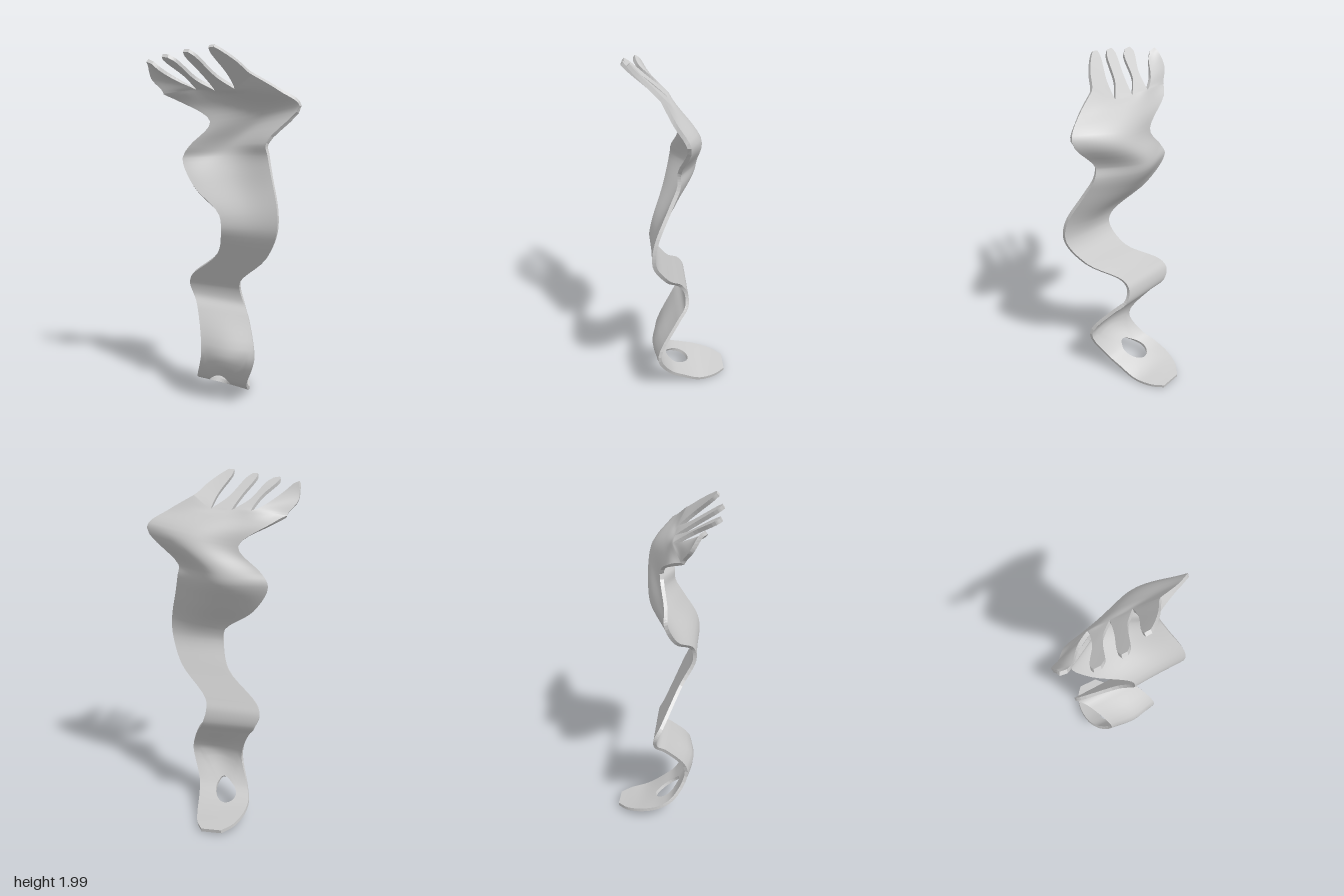
import * as THREE from 'three';
import { mergeVertices } from 'three/addons/utils/BufferGeometryUtils.js';

const COLS = 24, STEPS = 5, HALF = 0.01;
const HOLE = { j: 11, i: 17, rj: 5, ri: 4 };
const V = (x, y, z) => new THREE.Vector3(x, y, z);

// foot to palm: left edge x, y, right edge x, y, depth z
const BODY = [
  [-0.14, 0.03, -0.02, 0.015, -0.285],
  [-0.19, 0.045, 0.03, 0.015, -0.222],
  [-0.22, 0.07, 0.07, 0.025, -0.12],
  [-0.215, 0.1, 0.1, 0.08, -0.015],
  [-0.18, 0.15, 0.13, 0.14, 0.065],
  [-0.12, 0.31, 0.2, 0.31, 0.135],
  [-0.2, 0.52, 0.12, 0.5, 0.02],
  [-0.25, 0.59, 0.07, 0.57, -0.035],
  [-0.275, 0.66, 0.045, 0.65, -0.035],
  [-0.25, 0.72, 0.06, 0.71, -0.005],
  [-0.04, 0.88, 0.25, 0.87, 0.09],
  [0.015, 1.02, 0.335, 1.02, 0.162],
  [0, 1.1, 0.335, 1.14, 0.152],
  [-0.2, 1.25, 0.27, 1.32, 0.07],
  [-0.29, 1.4, 0.235, 1.42, 0.025],
  [-0.25, 1.47, 0.225, 1.49, 0.022],
  [-0.13, 1.61, 0.4, 1.69, -0.01],
  [-0.3, 1.73, 0.3, 1.775, 0.05],
];
// the upper arm is hollow towards the front, the lower arm is arched
const bell = (y, centre, width) => Math.exp(-(((y - centre) / width) ** 2));
const bulge = (y) => 0.025 * bell(y, 0.3, 0.12) - 0.105 * bell(y, 1.5, 0.25);

// knuckle line: outer edges and the three gaps between fingers
const KNUCKLES = [
  V(-0.36, 1.765, 0.11), V(-0.18, 1.79, 0.055), V(-0.07, 1.785, 0.055), V(0.05, 1.79, 0.06), V(0.17, 1.855, 0.1),
];
// per finger: middle and end as left x, y, right x, y, then depth of the end
const FINGERS = [
  { middle: [-0.41, 1.845, -0.26, 1.83], end: [-0.405, 1.92, -0.335, 1.89], z: 0.195 },
  { middle: [-0.21, 1.86, -0.15, 1.84], end: [-0.275, 1.935, -0.205, 1.925], z: 0.255 },
  { middle: [-0.1, 1.865, -0.025, 1.85], end: [-0.145, 1.95, -0.085, 1.945], z: 0.262 },
  { middle: [0.035, 1.87, 0.11, 1.92], end: [-0.012, 1.965, 0.05, 1.97], z: 0.235 },
];

// surface through rows of points; at(c, r) takes column and row in grid units
function surface(rows) {
  const columns = rows[0].map((_, j) => new THREE.CatmullRomCurve3(rows.map((row) => row[j])));
  const ni = (rows.length - 1) * STEPS, nj = columns.length - 1;
  const at = (c, r) => {
    const j = Math.min(Math.floor(c), nj - 1);
    return columns[j].getPoint(r / ni).lerp(columns[j + 1].getPoint(r / ni), c - j);
  };
  return { at, ni, nj };
}

// adds the cells of a surface, optionally leaving a round hole
function addCells({ at, ni, nj }, out, hole) {
  const norm = (i, j) => [(j - hole.j) / hole.rj, (i - hole.i) / hole.ri];
  const point = (i, j) => {
    if (!hole) return at(j, i);
    const [a, b] = norm(i, j);
    const m = Math.max(Math.abs(a), Math.abs(b)), e = Math.hypot(a, b);
    if (m >= 2 || e === 0) return at(j, i);
    const k = THREE.MathUtils.lerp(1, m / e, Math.min(1, 2 - m));
    return at(hole.j + a * k * hole.rj, hole.i + b * k * hole.ri);
  };
  for (let i = 0; i < ni; i++) {
    for (let j = 0; j < nj; j++) {
      if (hole && norm(i + 0.5, j + 0.5).every((d) => Math.abs(d) < 1)) continue;
      const a = point(i, j), b = point(i, j + 1), c = point(i + 1, j + 1), d = point(i + 1, j);
      for (const p of [a, b, c, a, c, d]) out.push(p.x, p.y, p.z);
    }
  }
}

function buffer(positions) {
  const g = new THREE.BufferGeometry();
  g.setAttribute('position', new THREE.Float32BufferAttribute(positions, 3));
  return g;
}

// thickens a welded sheet into two smooth faces and a sharp rim
function thicken(sheet) {
  sheet.computeVertexNormals();
  const { position, normal } = sheet.attributes, n = position.count;
  const index = Array.from(sheet.index.array);
  const offset = (i, s) => new THREE.Vector3().fromBufferAttribute(position, i)
    .addScaledVector(new THREE.Vector3().fromBufferAttribute(normal, i), s * HALF);
  const pos = [], nor = [], faces = [...index], rimPos = [];
  for (const s of [1, -1]) {
    for (let i = 0; i < n; i++) {
      pos.push(...offset(i, s).toArray());
      nor.push(s * normal.getX(i), s * normal.getY(i), s * normal.getZ(i));
    }
  }
  const edges = new Set();
  const eachEdge = (fn) => {
    for (let t = 0; t < index.length; t += 3)
      for (let k = 0; k < 3; k++) fn(index[t + k], index[t + (k + 1) % 3]);
  };
  for (let t = 0; t < index.length; t += 3) faces.push(index[t] + n, index[t + 2] + n, index[t + 1] + n);
  eachEdge((a, b) => edges.add(a + '_' + b));
  eachEdge((a, b) => {
    if (edges.has(b + '_' + a)) return;
    const af = offset(a, 1), ab = offset(a, -1), bf = offset(b, 1), bb = offset(b, -1);
    for (const p of [af, ab, bb, af, bb, bf]) rimPos.push(p.x, p.y, p.z);
  });
  const skin = buffer(pos);
  skin.setAttribute('normal', new THREE.Float32BufferAttribute(nor, 3));
  skin.setIndex(faces);
  const rim = buffer(rimPos);
  rim.computeVertexNormals();
  return { skin, rim };
}

// rows of a finger as [left, right] pairs, from the gap to a rounded tip
function fingerRows(base, { middle, end, z }) {
  const roots = [base[0], base[base.length - 1]];
  const ends = [V(end[0], end[1], z), V(end[2], end[3], z)];
  const middles = roots.map((root, s) => {
    const x = middle[2 * s], y = middle[2 * s + 1];
    return V(x, y, THREE.MathUtils.mapLinear(y, root.y, ends[s].y, root.z, z));
  });
  const gaps = roots.map((root, s) => root.clone().lerp(middles[s], 0.2).lerp(middles[1 - s], 0.04));
  const centre = ends[0].clone().lerp(ends[1], 0.5);
  const forward = centre.clone().sub(middles[0].clone().lerp(middles[1], 0.5)).setLength(0.035);
  const tips = ends.map((p) => p.clone().lerp(centre, 0.5).add(forward));
  return [gaps, middles, ends, tips];
}

export function createModel() {
  const group = new THREE.Group();
  group.name = 'wavyArmWithHand';
  const material = new THREE.MeshStandardMaterial({ color: 0xcccccc });
  const cells = [];

  // wavy arm and palm
  const across = (pts) => new THREE.CatmullRomCurve3(pts).getPoints(COLS);
  const rows = BODY.map(([xl, yl, xr, yr, z]) => {
    const y = (yl + yr) / 2;
    return across([V(xl, yl, z), V((xl + xr) / 2, y, z + bulge(y)), V(xr, yr, z)]);
  });
  const knuckles = across(KNUCKLES);
  rows.push(knuckles);
  addCells(surface(rows), cells, HOLE);

  // four fingers continuing from the knuckle line
  const w = COLS / FINGERS.length;
  FINGERS.forEach((finger, k) => {
    const base = knuckles.slice(k * w, (k + 1) * w + 1);
    const strips = fingerRows(base, finger).map(([l, r]) => base.map((_, j) => l.clone().lerp(r, j / w)));
    addCells(surface([base, ...strips]), cells);
  });

  const { skin, rim } = thicken(mergeVertices(buffer(cells), 1e-4));
  for (const [name, geometry] of [['armAndHand', skin], ['edge', rim]]) {
    const mesh = new THREE.Mesh(geometry, material);
    mesh.name = name;
    group.add(mesh);
  }
  return group;
}
